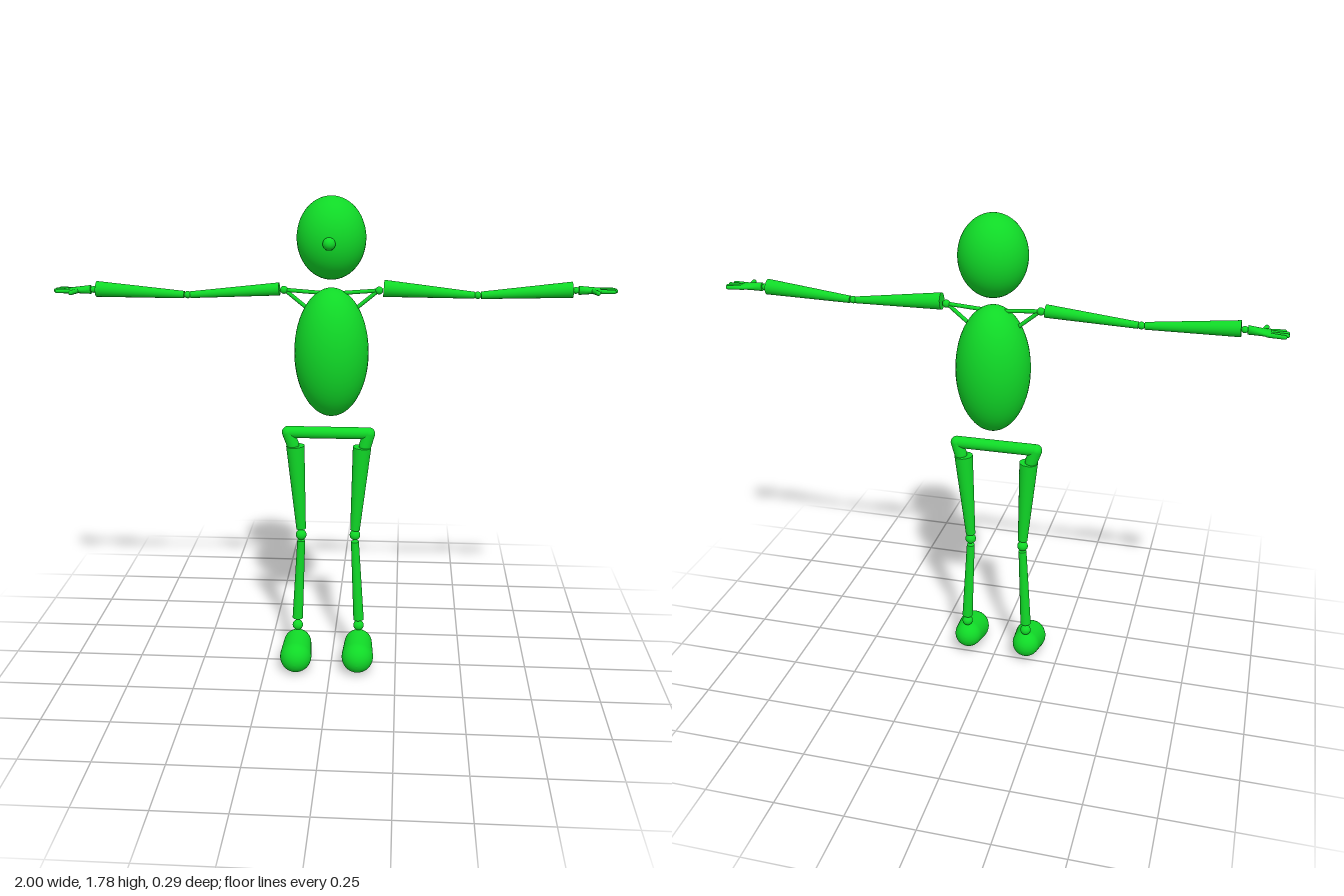
import * as THREE from 'three';

const material = new THREE.MeshStandardMaterial({ color: 0x10d927 });
const Z = -0.01; // depth of the body's middle plane
const UP = new THREE.Vector3(0, 1, 0);

function add(parent, name, geometry) {
  const mesh = new THREE.Mesh(geometry, material);
  mesh.name = name;
  parent.add(mesh);
  return mesh;
}

function ball(parent, name, [x, y, z = Z], rx, ry = rx, rz = rx) {
  const mesh = add(parent, name, new THREE.SphereGeometry(1, 40, 28));
  mesh.position.set(x, y, z);
  mesh.scale.set(rx, ry, rz);
  return mesh;
}

// Places a geometry that runs along y so that it spans a to b
function span(mesh, a, b, centred) {
  const dir = b.clone().sub(a);
  mesh.position.copy(a);
  if (centred) mesh.position.addScaledVector(dir, 0.5);
  mesh.quaternion.setFromUnitVectors(UP, dir.normalize());
  return mesh;
}

const vec = ([x, y, z = Z]) => new THREE.Vector3(x, y, z);

// Flat-ended tapered limb
function limb(parent, name, from, to, r0, r1) {
  const a = vec(from), b = vec(to);
  return span(add(parent, name, new THREE.CylinderGeometry(r1, r0, a.distanceTo(b), 32)), a, b, true);
}

// Round-ended tapered limb: two spheres joined by their tangent cone
function capsule(parent, name, from, to, r0, r1) {
  const a = vec(from), b = vec(to), d = a.distanceTo(b);
  const tilt = Math.asin((r0 - r1) / d), pts = [], n = 10;
  for (const [r, y, s, e] of [[r0, 0, -Math.PI / 2, tilt], [r1, d, tilt, Math.PI / 2]])
    for (let i = 0; i <= n; i++) {
      const t = s + (e - s) * i / n;
      pts.push(new THREE.Vector2(Math.max(0, r * Math.cos(t)), y + r * Math.sin(t)));
    }
  return span(add(parent, name, new THREE.LatheGeometry(pts, 32)), a, b, false);
}

// Flat palm that widens and thins toward the fingers, with four fingers and a thumb
function hand(parent, side, y0, y1) {
  const group = new THREE.Group();
  group.name = 'hand';
  const palm = new THREE.CylinderGeometry(1, 1, 1, 24, 4);
  const p = palm.attributes.position;
  for (let i = 0; i < p.count; i++) {
    const t = p.getY(i) + 0.5;
    const thick = 0.016 - 0.007 * t, wide = 0.012 + 0.02 * t;
    p.setXYZ(i, side * (0.865 + 0.075 * t), y0 + (y1 - y0) * t + side * -p.getX(i) * thick, Z - 0.006 * t + p.getZ(i) * wide);
  }
  palm.computeVertexNormals();
  add(group, 'palm', palm);
  [[0.985, -0.046], [0.993, -0.027], [0.993, -0.006], [0.983, 0.014]].forEach(([tip, z], i) =>
    capsule(group, 'finger', [side * 0.93, y1, -0.036 + i * 0.014], [side * tip, y1, z], 0.008, 0.007));
  capsule(group, 'thumb', [side * 0.915, y1, 0.005], [side * 0.924, y1, 0.046], 0.009, 0.008);
  parent.add(group);
}

function arm(parent, side, o) {
  const group = new THREE.Group();
  group.name = side > 0 ? 'leftArm' : 'rightArm';
  limb(group, 'collarBone', [0, 1.447], [side * 0.165, o.shoulder], 0.007, 0.007);
  limb(group, 'shoulderStrut', [side * 0.075, 1.385], [side * 0.16, o.shoulder - 0.005], 0.007, 0.007);
  ball(group, 'shoulder', [side * 0.169, o.shoulder], 0.014);
  limb(group, 'upperArm', [side * 0.185, o.upper], [side * 0.505, o.elbow], o.upperR, 0.012);
  ball(group, 'elbow', [side * 0.515, o.elbow], 0.013);
  limb(group, 'forearm', [side * 0.527, o.elbow], [side * 0.844, o.wrist], 0.013, 0.028);
  ball(group, 'wrist', [side * 0.855, o.wrist - 0.002], 0.012);
  hand(group, side, o.wrist - 0.002, o.tip);
  parent.add(group);
}

function leg(parent, name, o) {
  const group = new THREE.Group();
  group.name = name;
  capsule(group, 'hip', o.hip, o.thighTop, 0.023, 0.023);
  limb(group, 'thigh', [o.thighTop[0] + o.thighShift, 0.88], [o.knee[0], 0.553], 0.034, 0.018);
  ball(group, 'knee', o.knee, 0.02);
  limb(group, 'shin', [o.knee[0], 0.505], [o.ankle[0], 0.183], 0.015, 0.02);
  ball(group, 'ankle', o.ankle, 0.02);
  const [x, y] = o.ankle;
  capsule(group, 'foot', [x, y - 0.07, 0.004], [x, y - 0.087, 0.084], 0.053, 0.06);
  parent.add(group);
}

export function createModel() {
  const model = new THREE.Group();
  model.name = 'figure';

  // Head and body
  ball(model, 'head', [0, 1.643], 0.122, 0.145, 0.121);
  ball(model, 'nose', [0, 1.637, 0.118], 0.022, 0.022, 0.024);
  ball(model, 'torso', [0, 1.234], 0.134, 0.234, 0.134);

  // Arms, hanging at slightly different heights
  arm(model, 1, { shoulder: 1.46, upper: 1.468, upperR: 0.03, elbow: 1.447, wrist: 1.47, tip: 1.467 });
  arm(model, -1, { shoulder: 1.459, upper: 1.462, upperR: 0.023, elbow: 1.438, wrist: 1.455, tip: 1.449 });

  // Pelvis bar and legs
  limb(model, 'pelvis', [-0.155, 0.933], [0.135, 0.933], 0.022, 0.022);
  leg(model, 'leftLeg', { hip: [0.138, 0.932], thighTop: [0.124, 0.885], thighShift: -0.011, knee: [0.089, 0.532], ankle: [0.105, 0.158] });
  leg(model, 'rightLeg', { hip: [-0.16, 0.932], thighTop: [-0.143, 0.885], thighShift: 0.009, knee: [-0.115, 0.528], ankle: [-0.131, 0.152] });
  return model;
}
